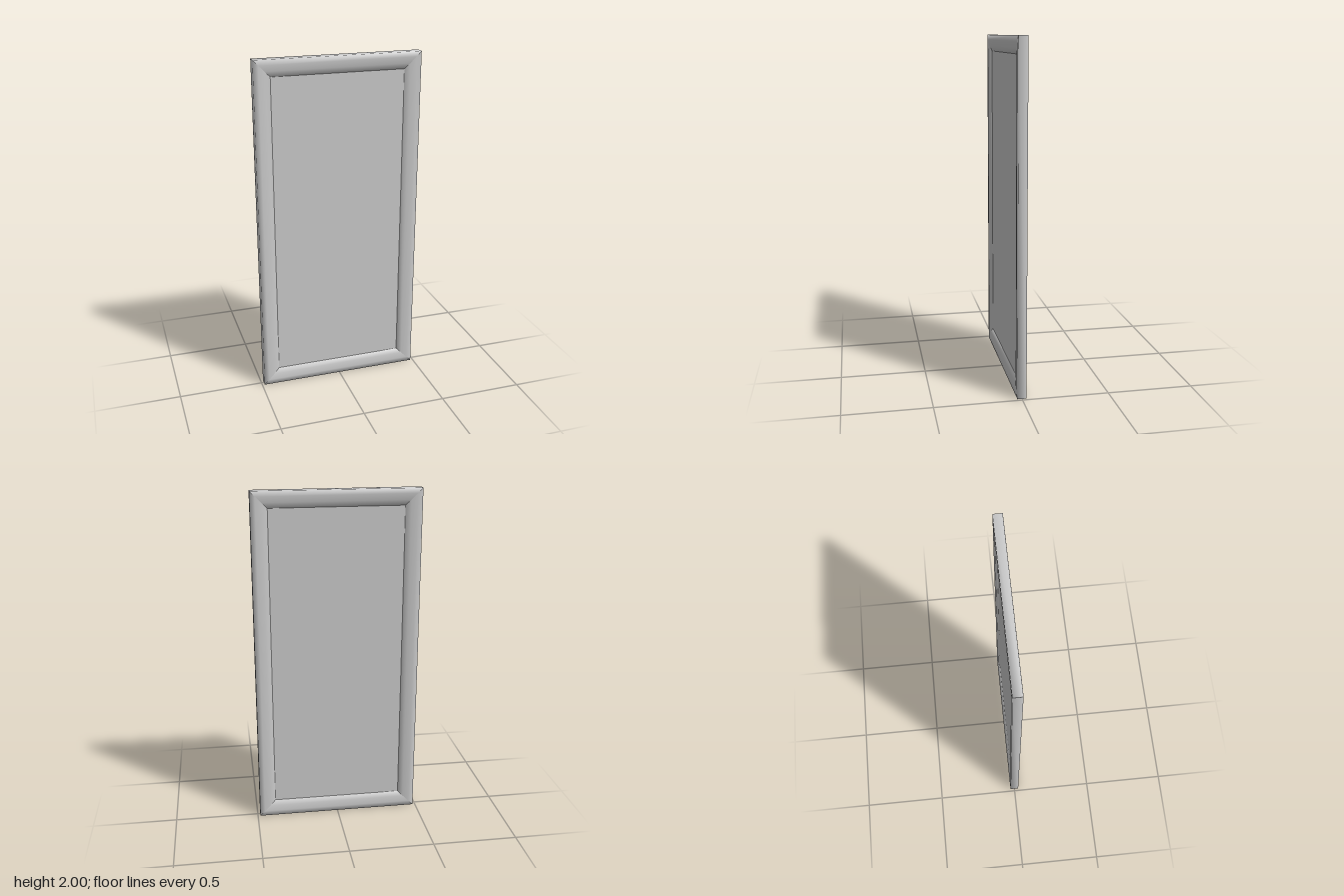
import * as THREE from 'three';

const HALF_W = 0.485, HALF_H = 1;
const material = new THREE.MeshStandardMaterial({ color: 0xcccccc });

// Half of the moulding section: [inset from the outer edge, depth]
const half = [[0, 0.026], [0.03, 0.028], [0.065, 0.0235], [0.097, 0.0135]];
const section = [...half, ...half.map(([d, z]) => [d, -z]).reverse()];

// One mitred bar running between two neighbouring corners, smooth along its section
function mouldingBar(name, from, to) {
  const positions = [], index = [], n = section.length;
  for (const [sx, sy] of [from, to]) {
    for (const [d, z] of section) {
      positions.push(sx * (HALF_W - d), HALF_H + sy * (HALF_H - d), z);
    }
  }
  for (let i = 0; i < n; i++) {
    const j = (i + 1) % n;
    index.push(i, n + i, n + j, i, n + j, j);
  }
  const geometry = new THREE.BufferGeometry();
  geometry.setAttribute('position', new THREE.Float32BufferAttribute(positions, 3));
  geometry.setIndex(index);
  geometry.computeVertexNormals();
  const mesh = new THREE.Mesh(geometry, material);
  mesh.name = name;
  return mesh;
}

export function createModel() {
  const model = new THREE.Group();
  model.name = 'framedPanel';

  // Mitred frame, corners taken counter-clockwise
  const frame = new THREE.Group();
  frame.name = 'frame';
  const corners = [[-1, -1], [1, -1], [1, 1], [-1, 1]];
  ['bottomBar', 'leftBar', 'topBar', 'rightBar'].forEach((name, i) => {
    frame.add(mouldingBar(name, corners[i], corners[(i + 1) % 4]));
  });
  model.add(frame);

  // Flat panel, recessed on both sides
  const panel = new THREE.Mesh(new THREE.BoxGeometry(0.78, 1.816, 0.027), material);
  panel.name = 'panel';
  panel.position.y = HALF_H;
  model.add(panel);

  return model;
}
